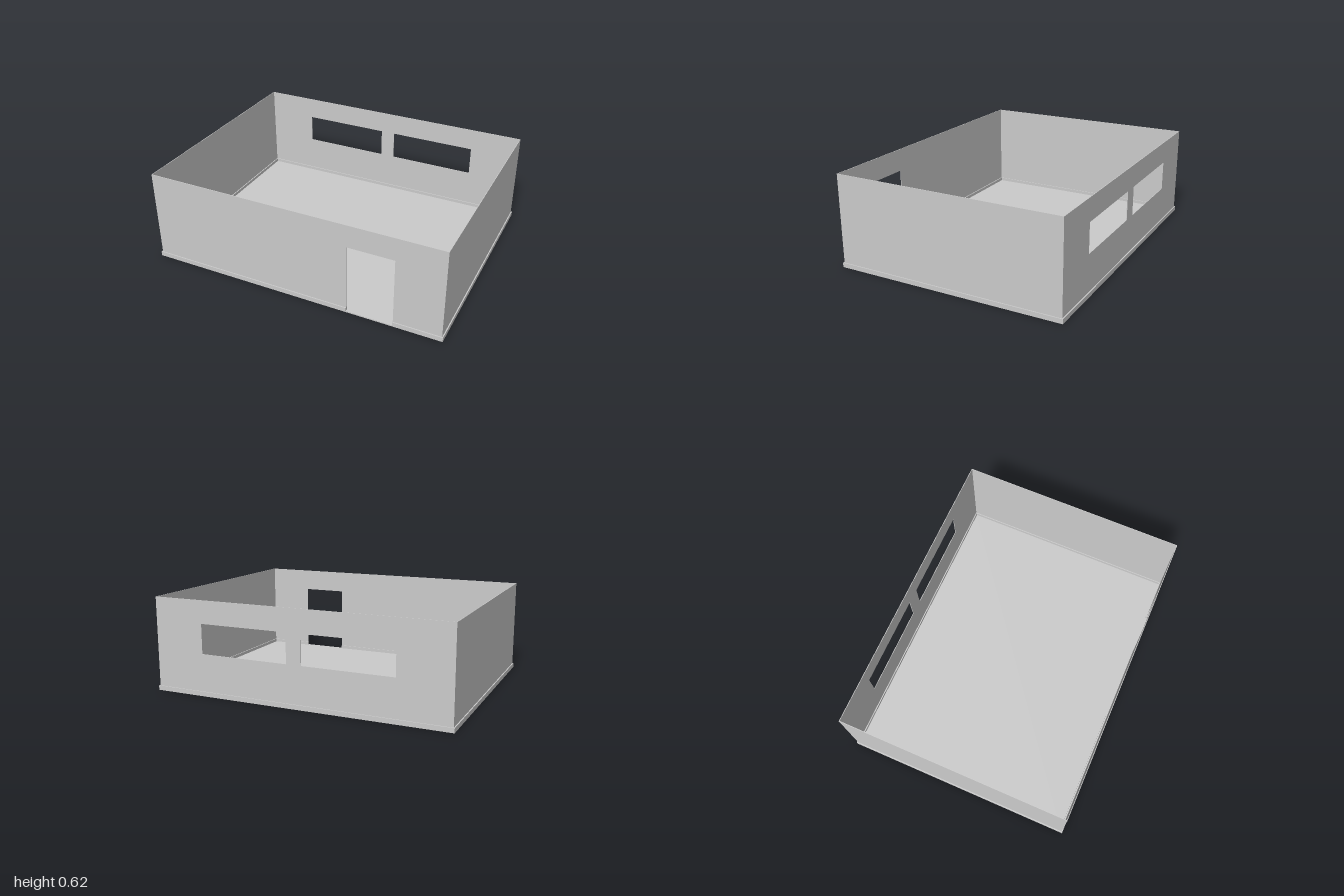
import * as THREE from 'three';

const W = 0.99, D = 0.76;        // wall centre lines
const H = 0.62, T = 0.004;       // wall height and thickness
const BASE_H = 0.03, BASE_T = 0.018, FLOOR_H = 0.008;
const door = { x0: 0.38, x1: 0.685, y1: 0.47 };

export function createModel() {
  const room = new THREE.Group();
  room.name = 'room';
  const material = new THREE.MeshStandardMaterial({ color: 0xcccccc, flatShading: true });

  const add = (name, geometry, x, y, z) => {
    const mesh = new THREE.Mesh(geometry, material);
    mesh.name = name;
    mesh.position.set(x, y, z);
    room.add(mesh);
  };
  const box = (name, x0, x1, y0, y1, z0, z1) =>
    add(name, new THREE.BoxGeometry(x1 - x0, y1 - y0, z1 - z0),
      (x0 + x1) / 2, (y0 + y1) / 2, (z0 + z1) / 2);
  const polygon = (Type, points) => new Type(points.map(([x, y]) => new THREE.Vector2(x, y)));
  const extrude = (shape) => new THREE.ExtrudeGeometry(shape, { depth: T, bevelEnabled: false });

  // Floor slab
  const fx = W + BASE_T / 2, fz = D + BASE_T / 2;
  box('floor', -fx, fx, 0, FLOOR_H, -fz, fz);

  // Front wall, with a doorway open to the floor
  const wx = W + T / 2;
  const front = polygon(THREE.Shape, [
    [-wx, 0], [door.x0, 0], [door.x0, door.y1], [door.x1, door.y1],
    [door.x1, 0], [wx, 0], [wx, H], [-wx, H],
  ]);
  add('frontWall', extrude(front), 0, 0, D - T / 2);

  // Back wall, with a pair of windows
  const back = polygon(THREE.Shape, [[-wx, 0], [wx, 0], [wx, H], [-wx, H]]);
  for (const [a, b] of [[-0.65, -0.05], [0.05, 0.65]]) {
    back.holes.push(polygon(THREE.Path, [[a, 0.275], [a, 0.47], [b, 0.47], [b, 0.275]]));
  }
  add('backWall', extrude(back), 0, 0, -D - T / 2);

  // Side walls and their skirting, which shows on both faces of the wall
  const b = BASE_T / 2;
  for (const [side, s] of [['left', 1], ['right', -1]]) {
    box(side + 'Wall', s * W - T / 2, s * W + T / 2, 0, H, -D + T / 2, D - T / 2);
    box(side + 'Skirting', s * W - b, s * W + b, 0, BASE_H, -D + b, D - b);
  }

  // Back skirting, and front skirting broken at the doorway
  box('backSkirting', -fx, fx, 0, BASE_H, -D - b, -D + b);
  box('frontSkirtingRight', -fx, door.x0, 0, BASE_H, D - b, D + b);
  box('frontSkirtingLeft', door.x1, fx, 0, BASE_H, D - b, D + b);

  return room;
}
